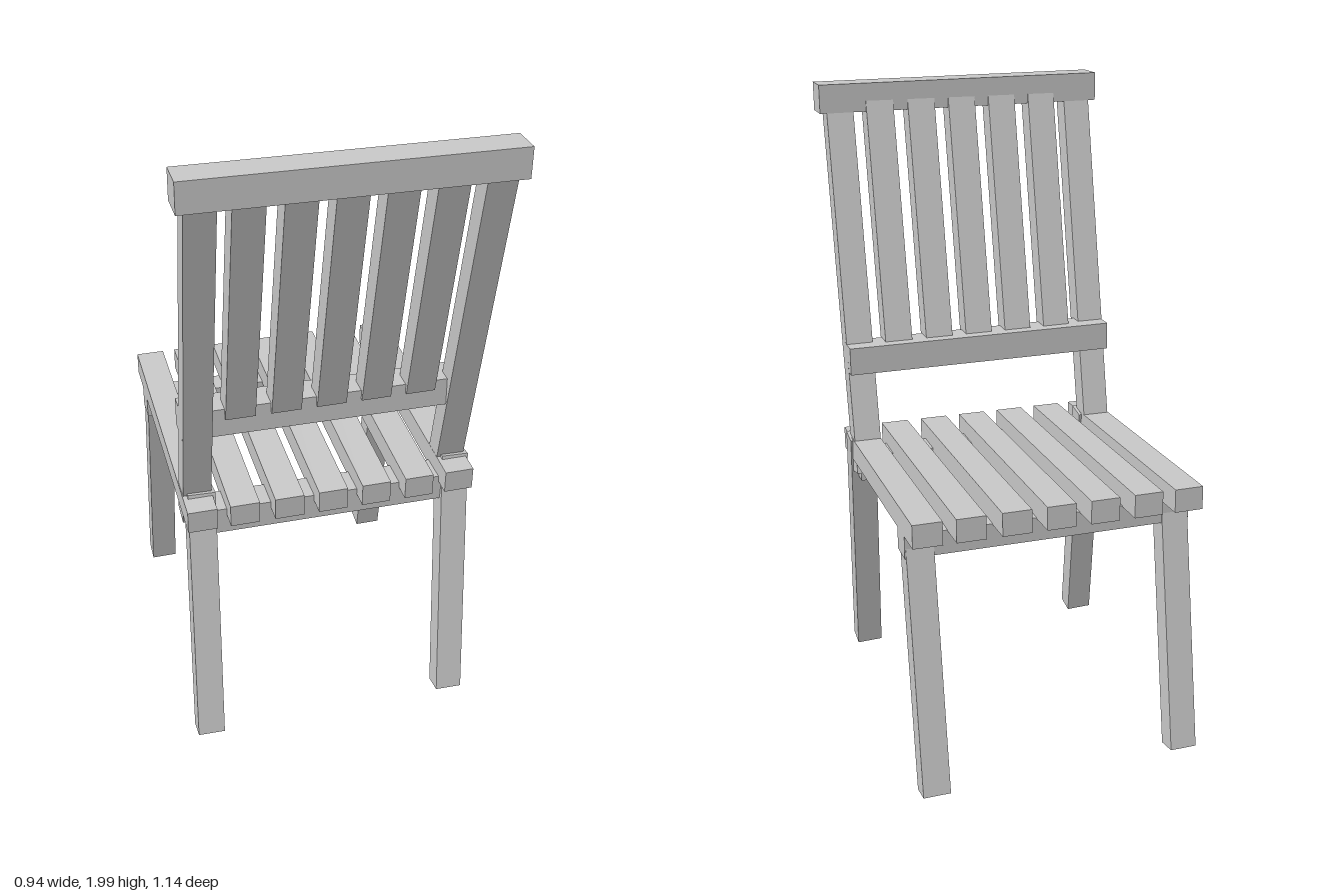
import * as THREE from 'three';

const material = new THREE.MeshStandardMaterial({ color: 0xcccccc, flatShading: true });
const UP = new THREE.Vector3(0, 1, 0);

export function createModel() {
  const chair = new THREE.Group();
  chair.name = 'slattedChair';

  // Square-cut bar whose end centres lie at points a and b
  function bar(name, a, b, width, depth) {
    const from = new THREE.Vector3(...a);
    const to = new THREE.Vector3(...b);
    const dir = to.clone().sub(from);
    const mesh = new THREE.Mesh(new THREE.BoxGeometry(width, dir.length(), depth), material);
    mesh.name = name;
    mesh.position.copy(from).add(to).multiplyScalar(0.5);
    mesh.quaternion.setFromUnitVectors(UP, dir.normalize());
    chair.add(mesh);
  }

  // Crosswise rail, with an optional slight roll
  function rail(name, length, height, depth, y, z, roll = 0) {
    const mesh = new THREE.Mesh(new THREE.BoxGeometry(length, height, depth), material);
    mesh.name = name;
    mesh.position.set(0, y, z);
    mesh.rotation.z = roll;
    chair.add(mesh);
  }

  // Seat slats, rising slightly towards the open side of the seat
  const slatX = [-0.405, -0.275, -0.137, 0, 0.137, 0.275, 0.405];
  for (const x of slatX) {
    const seat = new THREE.Mesh(new THREE.BoxGeometry(0.09, 0.073, 0.91), material);
    seat.name = 'seatSlat';
    seat.position.set(x, 0.842, -0.065);
    seat.rotation.x = 0.033;
    chair.add(seat);
  }

  // Leaning backrest slats between the two back rails
  for (const x of slatX.slice(1, -1)) {
    bar('backSlat', [x, 1.16, 0.324], [x, 1.93, 0.505], 0.09, 0.07);
  }

  // Posts and splayed legs on both sides
  for (const side of [-1, 1]) {
    const x = side * 0.404;
    bar('backPost', [x, 0.755, 0.244], [x, 1.93, 0.517], 0.087, 0.069);
    bar('seatLeg', [x, 0.013, -0.533], [x, 0.83, -0.38], 0.085, 0.069);
    // The legs under the backrest lean a little sideways
    bar('backLeg', [x - 0.018, 0.03, 0.44], [x + 0.011, 0.87, 0.288], 0.085, 0.067);
  }

  // Rails
  rail('topRail', 0.94, 0.09, 0.097, 1.951, 0.521, -0.007);
  rail('lowerBackRail', 0.895, 0.09, 0.095, 1.138, 0.303, -0.006);
  rail('seatRail', 0.9, 0.075, 0.08, 0.783, -0.385);
  rail('backSeatRail', 0.86, 0.085, 0.095, 0.77, 0.284, -0.006);

  return chair;
}
